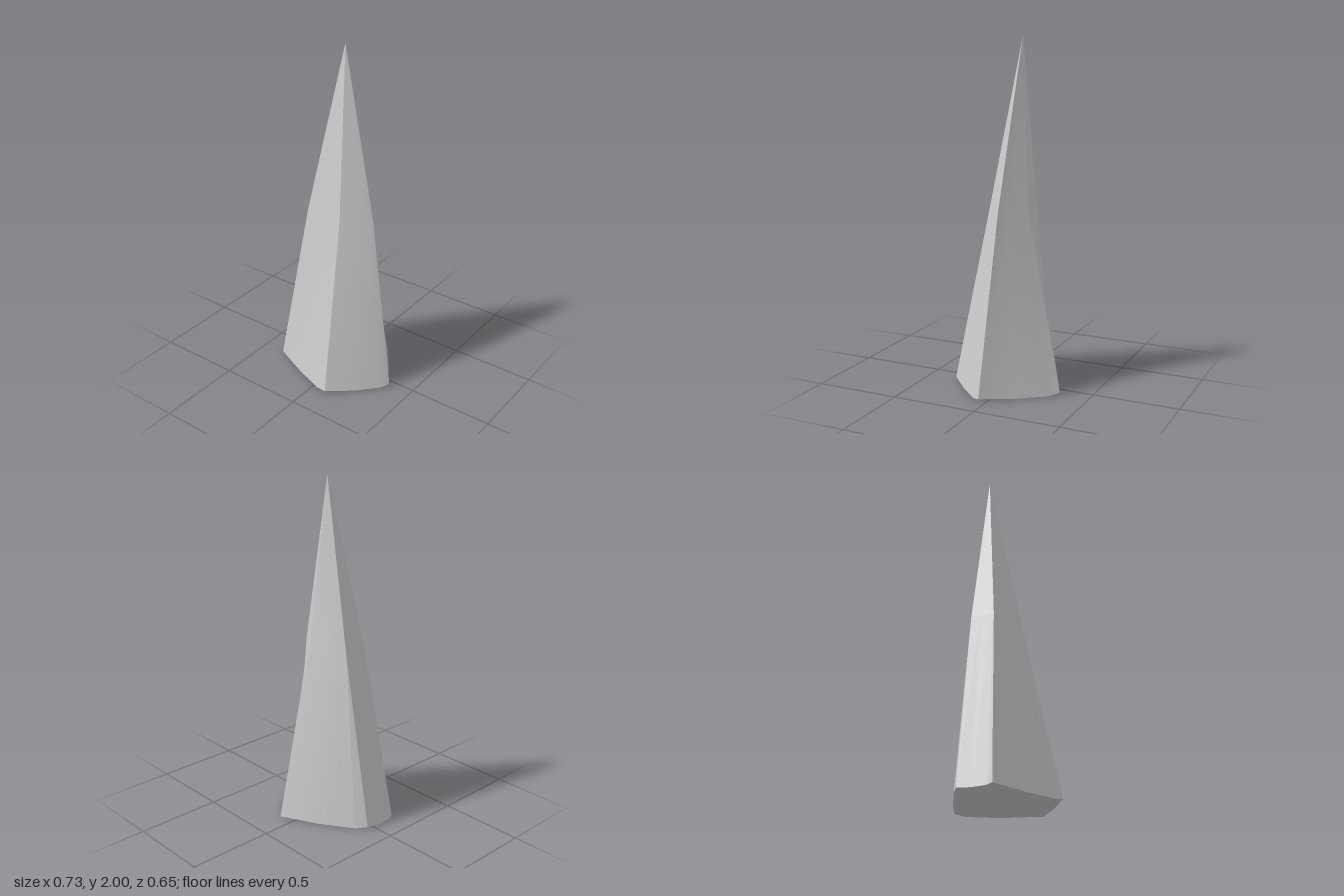
import * as THREE from 'three';
import { toCreasedNormals } from 'three/addons/utils/BufferGeometryUtils.js';

// Five corners [x, z] at the foot and at the waist, running back, left, front, right
const foot = [[0.077, -0.328], [0.36, 0.045], [0.096, 0.325], [-0.355, 0.163], [-0.361, -0.043]];
const waist = [[0.045, -0.118], [0.2, 0], [0.055, 0.122], [-0.2, 0.08], [-0.2, -0.065]];
const APEX = [-0.03, 2, -0.048];

// Ring of corners with two extra points per side, pushed out by bulge and down by dip
function ring(corners, y, bulge, dip) {
  const points = [];
  corners.forEach(([ax, az], i) => {
    const [bx, bz] = corners[(i + 1) % corners.length];
    const dx = bx - ax, dz = bz - az, len = Math.hypot(dx, dz);
    for (const t of [0, 0.14, 0.56]) {
      const push = t ? bulge : 0;
      points.push([ax + dx * t + (dz / len) * push, t ? y - dip : y, az + dz * t - (dx / len) * push]);
    }
  });
  return points;
}

export function createModel() {
  const low = ring(foot, 0.012, 0.009, 0.012);
  const mid = ring(waist, 1.02, 0.002, 0);
  const base = [0, 0, 0];
  const positions = [];
  const tri = (...corners) => corners.forEach((p) => positions.push(...p));

  low.forEach((p, i) => {
    const j = (i + 1) % low.length;
    tri(p, mid[i], low[j]); // lower flank
    tri(low[j], mid[i], mid[j]);
    tri(mid[i], APEX, mid[j]); // tapering point
    tri(base, p, low[j]); // underside
  });

  let geometry = new THREE.BufferGeometry();
  geometry.setAttribute('position', new THREE.Float32BufferAttribute(positions, 3));
  geometry = toCreasedNormals(geometry, 0.4);

  const spike = new THREE.Mesh(geometry, new THREE.MeshStandardMaterial({ color: 0xcccccc }));
  spike.name = 'spike';
  const group = new THREE.Group();
  group.name = 'crystalSpike';
  group.add(spike);
  return group;
}
